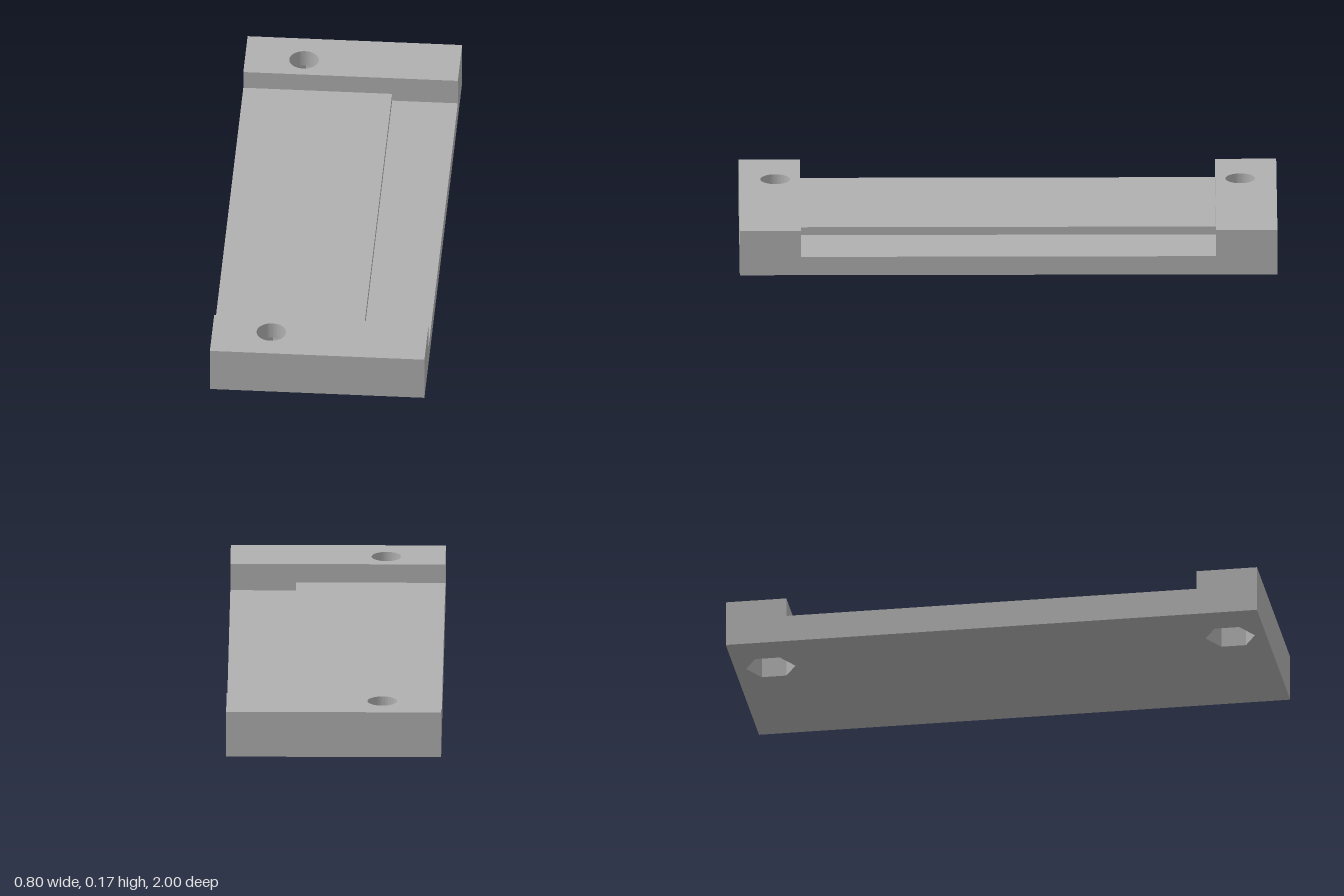
import * as THREE from 'three';
import { toCreasedNormals } from 'three/addons/utils/BufferGeometryUtils.js';

const HALF_W = 0.4, HALF_L = 1, INNER = 0.772; // plan dimensions
const TOP = 0.175, DECK = 0.103, LEDGE = 0.072; // heights
const STEP_X = 0.155;
const HOLE_X = -0.18, HOLE_Z = 0.865, HOLE_R = 0.055;
const NUT_R = 0.093, NUT_DEPTH = 0.11;

// Horizontal slab of an end block, from y0 to y1, pierced by one hole
function piercedSlab(side, y0, y1, hole) {
  const a = -side * HALF_L, b = -side * INNER;
  const lo = Math.min(a, b), hi = Math.max(a, b);
  const shape = new THREE.Shape([
    new THREE.Vector2(-HALF_W, lo), new THREE.Vector2(HALF_W, lo),
    new THREE.Vector2(HALF_W, hi), new THREE.Vector2(-HALF_W, hi),
  ]);
  shape.holes.push(hole);
  const geo = new THREE.ExtrudeGeometry(shape, { depth: y1 - y0, bevelEnabled: false, curveSegments: 40 });
  geo.rotateX(-Math.PI / 2).translate(0, y0, 0);
  return toCreasedNormals(geo, 0.5);
}

function roundHole(side) {
  return new THREE.Path().absarc(HOLE_X, -side * HOLE_Z, HOLE_R, 0, Math.PI * 2, true);
}

// Hexagon with corners pointing along z
function hexHole(side) {
  const pts = [];
  for (let i = 0; i < 6; i++) {
    const t = Math.PI / 2 - i * Math.PI / 3;
    pts.push(new THREE.Vector2(HOLE_X + NUT_R * Math.cos(t), -side * HOLE_Z + NUT_R * Math.sin(t)));
  }
  return new THREE.Path(pts);
}

export function createModel() {
  const model = new THREE.Group();
  model.name = 'mountingPlate';
  const grey = new THREE.MeshStandardMaterial({ color: 0xb0b0b0 });
  grey.name = 'plain grey';

  const add = (parent, name, geo) => {
    const mesh = new THREE.Mesh(geo, grey);
    mesh.name = name;
    parent.add(mesh);
  };

  // Stepped deck: raised bed with a lower ledge along one long side
  const profile = new THREE.Shape([
    new THREE.Vector2(-HALF_W, 0), new THREE.Vector2(HALF_W, 0),
    new THREE.Vector2(HALF_W, LEDGE), new THREE.Vector2(STEP_X, LEDGE),
    new THREE.Vector2(STEP_X, DECK), new THREE.Vector2(-HALF_W, DECK),
  ]);
  const deck = new THREE.ExtrudeGeometry(profile, { depth: INNER * 2, bevelEnabled: false });
  add(model, 'steppedDeck', deck.translate(0, 0, -INNER));

  // End blocks: bolt hole above, hexagonal nut pocket below
  for (const side of [1, -1]) {
    const block = new THREE.Group();
    block.name = side > 0 ? 'frontEndBlock' : 'backEndBlock';
    add(block, 'nutPocketLayer', piercedSlab(side, 0, NUT_DEPTH, hexHole(side)));
    add(block, 'boltHoleLayer', piercedSlab(side, NUT_DEPTH, TOP, roundHole(side)));
    model.add(block);
  }
  return model;
}
